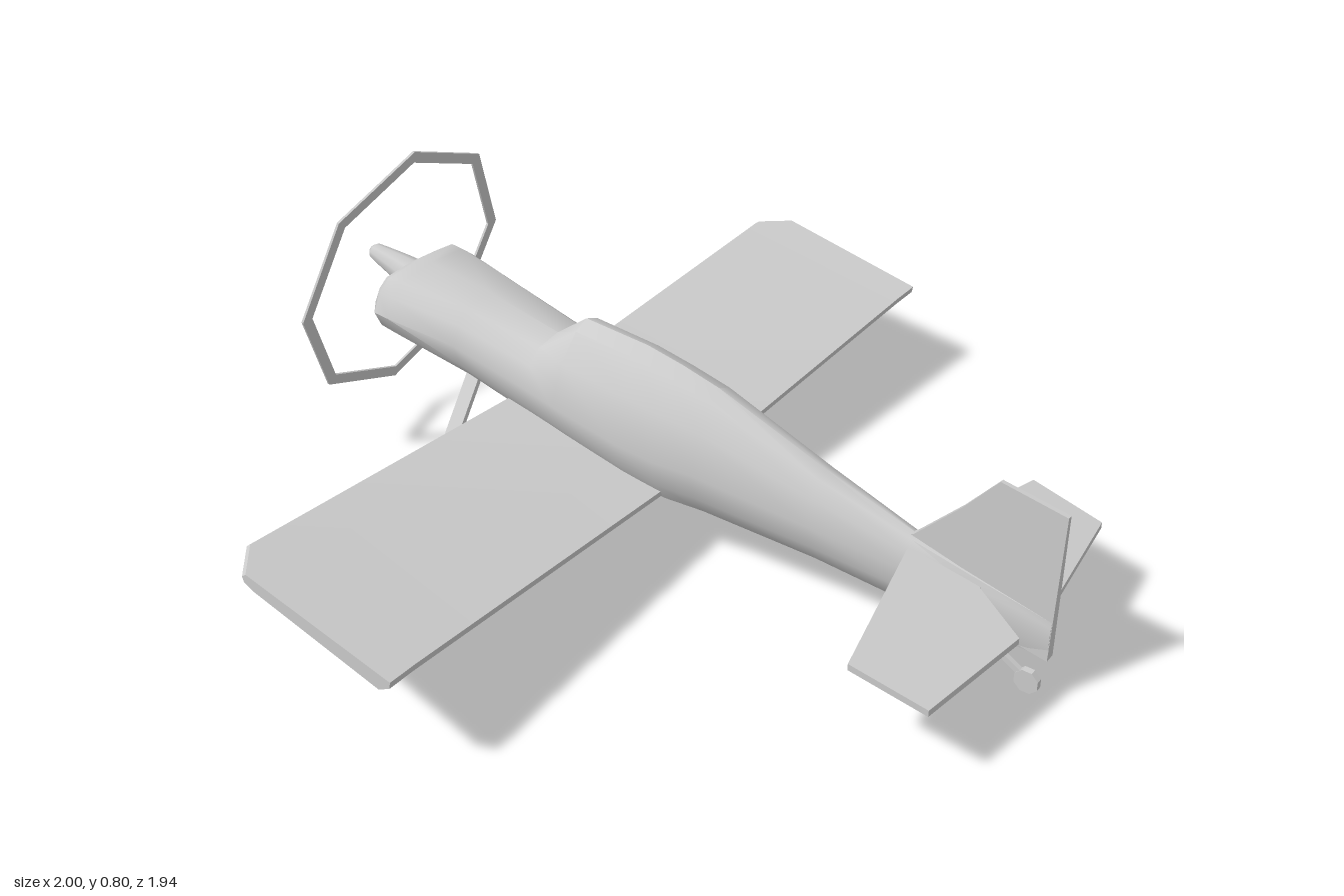
import * as THREE from 'three';
import { toCreasedNormals, mergeVertices } from 'three/addons/utils/BufferGeometryUtils.js';

const material = new THREE.MeshStandardMaterial({ color: 0xcccccc, side: THREE.DoubleSide });
const V = (x, y, z) => new THREE.Vector3(x, y, z);

// Skin a row of equal-length closed rings and cap both ends
function loft(rings, crease) {
  const n = rings[0].length, last = (rings.length - 1) * n, index = [];
  for (let i = 0; i < rings.length - 1; i++) {
    for (let j = 0; j < n; j++) {
      const a = i * n + j, b = i * n + (j + 1) % n;
      index.push(a, b, b + n, a, b + n, a + n);
    }
  }
  for (let j = 1; j < n - 1; j++) index.push(0, j + 1, j, last, last + j, last + j + 1);
  const g = new THREE.BufferGeometry().setFromPoints(rings.flat());
  g.setIndex(index);
  return toCreasedNormals(g, crease);
}

function mesh(name, geometry, parent) {
  const m = new THREE.Mesh(geometry, material);
  m.name = name;
  parent.add(m);
  return m;
}

// Flat bar between two points
function bar(name, a, b, thick, wide, parent) {
  const m = mesh(name, new THREE.BoxGeometry(thick, wide, a.distanceTo(b)), parent);
  m.position.copy(a).add(b).multiplyScalar(0.5);
  m.lookAt(b);
  return m;
}

function wheel(name, radius, width, parent) {
  const g = new THREE.CylinderGeometry(radius, radius, width, 8);
  g.rotateY(Math.PI / 8).rotateZ(Math.PI / 2);
  return mesh(name, toCreasedNormals(g, 0.3), parent);
}

// Half section mirrored to a full ring, counterclockwise seen from the tail
function bodyRing([z, bottom, top, half, mid, topHalf, bottomHalf]) {
  const right = [
    [bottomHalf, bottom + 0.1 * (mid - bottom)],
    [bottomHalf + 0.72 * (half - bottomHalf), bottom + 0.5 * (mid - bottom)],
    [half, mid],
    [topHalf + 0.6 * (half - topHalf), mid + 0.55 * (top - mid)],
    [topHalf, top - 0.1 * (top - mid)],
  ];
  const left = right.map(([x, y]) => [-x, y]).reverse();
  return [[0, bottom], ...right, [0, top], ...left].map(([x, y]) => V(x, y, z));
}

// Rounded-edge wing section at x
function wingRing([x, zFront, zRear, yFront, yRear]) {
  const h = 0.0175;
  return [
    V(x, yRear - h, zRear - 0.035), V(x, yFront - h, zFront + 0.03),
    V(x, yFront - 0.006, zFront + 0.004), V(x, yFront + 0.008, zFront),
    V(x, yFront + h, zFront + 0.012), V(x, yRear + h, zRear),
    V(x, yRear, zRear - 0.004),
  ];
}

export function createModel() {
  const plane = new THREE.Group();
  plane.name = 'airplane';

  // Fuselage: z, bottom, top, half width, widest height, top and bottom half widths
  const stations = [
    [-0.83, 0.39, 0.495, 0.135, 0.44, 0.09, 0.08],
    [-0.80, 0.35, 0.513, 0.17, 0.435, 0.115, 0.10],
    [-0.76, 0.338, 0.514, 0.167, 0.43, 0.11, 0.10],
    [-0.57, 0.292, 0.492, 0.14, 0.405, 0.085, 0.09],
    [-0.36, 0.245, 0.452, 0.132, 0.36, 0.07, 0.09],
    [-0.27, 0.225, 0.52, 0.136, 0.345, 0.04, 0.09],
    [-0.09, 0.18, 0.51, 0.133, 0.31, 0.04, 0.085],
    [0.01, 0.156, 0.492, 0.123, 0.295, 0.04, 0.075],
    [0.11, 0.152, 0.468, 0.108, 0.29, 0.04, 0.06],
    [0.4, 0.135, 0.365, 0.07, 0.25, 0.03, 0.035],
    [0.63, 0.11, 0.295, 0.043, 0.22, 0.018, 0.02],
    [0.75, 0.109, 0.265, 0.027, 0.21, 0.014, 0.016],
    [0.965, 0.115, 0.22, 0.014, 0.18, 0.011, 0.01],
  ];
  mesh('fuselage', loft(stations.map(bodyRing), 0.75), plane);

  // Main wing: x, leading z, trailing z, leading y, trailing y
  const span = [
    [0, -0.447, 0.01, 0.268, 0.173],
    [0.93, -0.427, 0.038, 0.34, 0.246],
    [1, -0.365, 0.042, 0.333, 0.251],
  ];
  const leftToRight = [
    ...span.slice(1).reverse().map(([x, ...rest]) => [-x, ...rest]), ...span,
  ];
  mesh('wing', loft(leftToRight.map(wingRing), 0.5), plane);

  // Tailplane halves: flat outline, tilted nose up and drooping slightly at the tips
  for (const side of [1, -1]) {
    const outline = [[0, 0.63], [0.04, 0.63], [0.4, 0.71], [0.388, 0.89], [0.087, 0.93], [0.02, 0.8], [0, 0.8]];
    const shape = new THREE.Shape(outline.map(([x, z]) => new THREE.Vector2(x * side, z)));
    const g = new THREE.ExtrudeGeometry(shape, { depth: 0.016, bevelEnabled: false });
    g.rotateX(Math.PI / 2);
    const p = g.attributes.position;
    for (let i = 0; i < p.count; i++) {
      p.setY(i, p.getY(i) + 0.272 - 0.2 * (p.getZ(i) - 0.63) - 0.03 * Math.abs(p.getX(i)));
    }
    g.computeVertexNormals();
    mesh(side > 0 ? 'leftTailplane' : 'rightTailplane', g, plane);
  }

  // Fin and rudder, thinner towards the top
  const finOutline = [[0.6, 0.28], [0.63, 0.298], [0.735, 0.41], [0.813, 0.505], [0.968, 0.48], [0.966, 0.115], [0.75, 0.15]];
  const fin = new THREE.ExtrudeGeometry(
    new THREE.Shape(finOutline.map(([z, y]) => new THREE.Vector2(z, y))),
    { depth: 0.026, bevelEnabled: false });
  fin.translate(0, 0, -0.013).rotateY(-Math.PI / 2);
  const fp = fin.attributes.position;
  for (let i = 0; i < fp.count; i++) fp.setX(i, fp.getX(i) * (1.2 - 1.6 * fp.getY(i)));
  fin.computeVertexNormals();
  mesh('fin', fin, plane);

  // Nose assembly, tilted with the engine line
  const nose = new THREE.Group();
  nose.name = 'propeller';
  nose.position.set(0, 0.465, -0.862);
  nose.rotation.x = 0.208;
  plane.add(nose);

  // Spinner
  const profile = [[0.042, -0.05], [0.037, 0], [0.026, 0.07], [0.021, 0.098], [0.012, 0.108], [0, 0.11]];
  const spinner = new THREE.LatheGeometry(profile.map(([r, y]) => new THREE.Vector2(r, y)), 10);
  spinner.rotateX(-Math.PI / 2);
  mesh('spinner', spinner, nose);

  // Thin eight-sided propeller ring
  const octagon = (r) => Array.from({ length: 8 }, (_, i) =>
    new THREE.Vector2(r * Math.sin(i * Math.PI / 4), r * Math.cos(i * Math.PI / 4)));
  const ring = new THREE.Shape(octagon(0.345));
  ring.holes.push(new THREE.Path(octagon(0.315)));
  const ringGeometry = new THREE.ExtrudeGeometry(ring, { depth: 0.006, bevelEnabled: false });
  ringGeometry.translate(0, 0, -0.003);
  mesh('propellerRing', ringGeometry, nose);

  // Main landing gear
  for (const side of [1, -1]) {
    const gear = new THREE.Group();
    gear.name = side > 0 ? 'leftLandingGear' : 'rightLandingGear';
    plane.add(gear);
    bar('strut', V(side * 0.08, 0.3, -0.565), V(side * 0.3, 0.078, -0.525), 0.036, 0.016, gear);
    bar('axleLeg', V(side * 0.298, 0.09, -0.528), V(side * 0.298, 0.04, -0.51), 0.012, 0.03, gear);
    wheel('wheel', 0.047, 0.026, gear).position.set(side * 0.312, 0.048, -0.505);
  }

  // Tail wheel
  bar('tailStrut', V(0, 0.12, 0.78), V(0, 0.04, 0.92), 0.012, 0.014, plane);
  wheel('tailWheel', 0.03, 0.016, plane).position.set(0, 0.034, 0.923);

  return plane;
}
